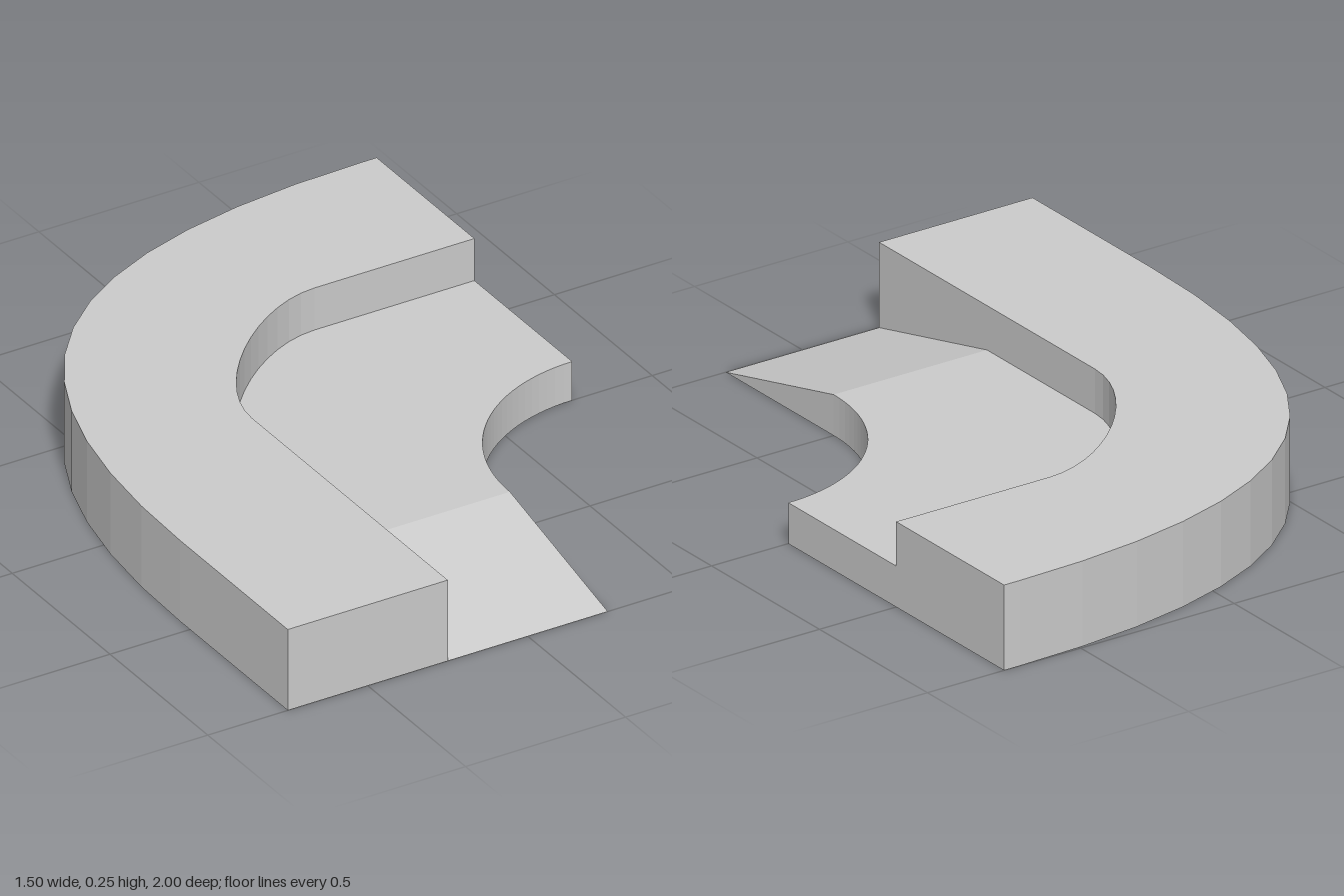
import * as THREE from 'three';

const TOP = 0.25, DECK = 0.12;

export function createModel() {
  const group = new THREE.Group();
  const material = new THREE.MeshStandardMaterial({ color: 0xcccccc, flatShading: true });

  function add(name, geometry) {
    const mesh = new THREE.Mesh(geometry, material);
    mesh.name = name;
    group.add(mesh);
  }

  // Plan outlines are drawn as (x, -z) and raised to a height
  function raise(shape, height) {
    const g = new THREE.ExtrudeGeometry(shape, { depth: height, bevelEnabled: false, curveSegments: 14 });
    return g.rotateX(-Math.PI / 2);
  }

  // Outer curb: wide bend outside, tighter bend along the deck
  const curb = new THREE.Shape();
  curb.moveTo(-0.25, -1);
  curb.lineTo(-0.25, 0);
  curb.bezierCurveTo(-0.25, 0.2, -0.05, 0.5, 0.25, 0.5);
  // pull both handles evenly so the bend is symmetric
  curb.curves[curb.curves.length - 1].v2.set(0.05, 0.5);
  curb.lineTo(0.75, 0.5);
  curb.lineTo(0.75, 1);
  curb.lineTo(0.7, 1);
  curb.bezierCurveTo(-0.32, 1, -0.75, 0.57, -0.75, -0.45);
  curb.lineTo(-0.75, -1);
  curb.closePath();
  add('raisedCurb', raise(curb, TOP));

  // Lower deck with a round cut-out on the inside of the bend
  const deck = new THREE.Shape();
  deck.moveTo(-0.25, -0.5);
  deck.lineTo(0.25, -0.5);
  deck.absarc(0.75, -0.5, 0.5, Math.PI, Math.PI / 2, true);
  deck.lineTo(0.75, 0.5);
  deck.lineTo(0.25, 0.5);
  deck.bezierCurveTo(0.05, 0.5, -0.25, 0.2, -0.25, 0);
  deck.closePath();
  add('lowerDeck', raise(deck, DECK));

  // Entry ramp: wedge profile (z, y) swept across x
  const wedge = new THREE.Shape([
    new THREE.Vector2(-1, 0), new THREE.Vector2(-0.5, 0), new THREE.Vector2(-0.5, DECK),
  ]);
  const ramp = new THREE.ExtrudeGeometry(wedge, { depth: 0.5, bevelEnabled: false });
  ramp.rotateY(Math.PI / 2).translate(-0.25, 0, 0);
  add('entryRamp', ramp);

  return group;
}
